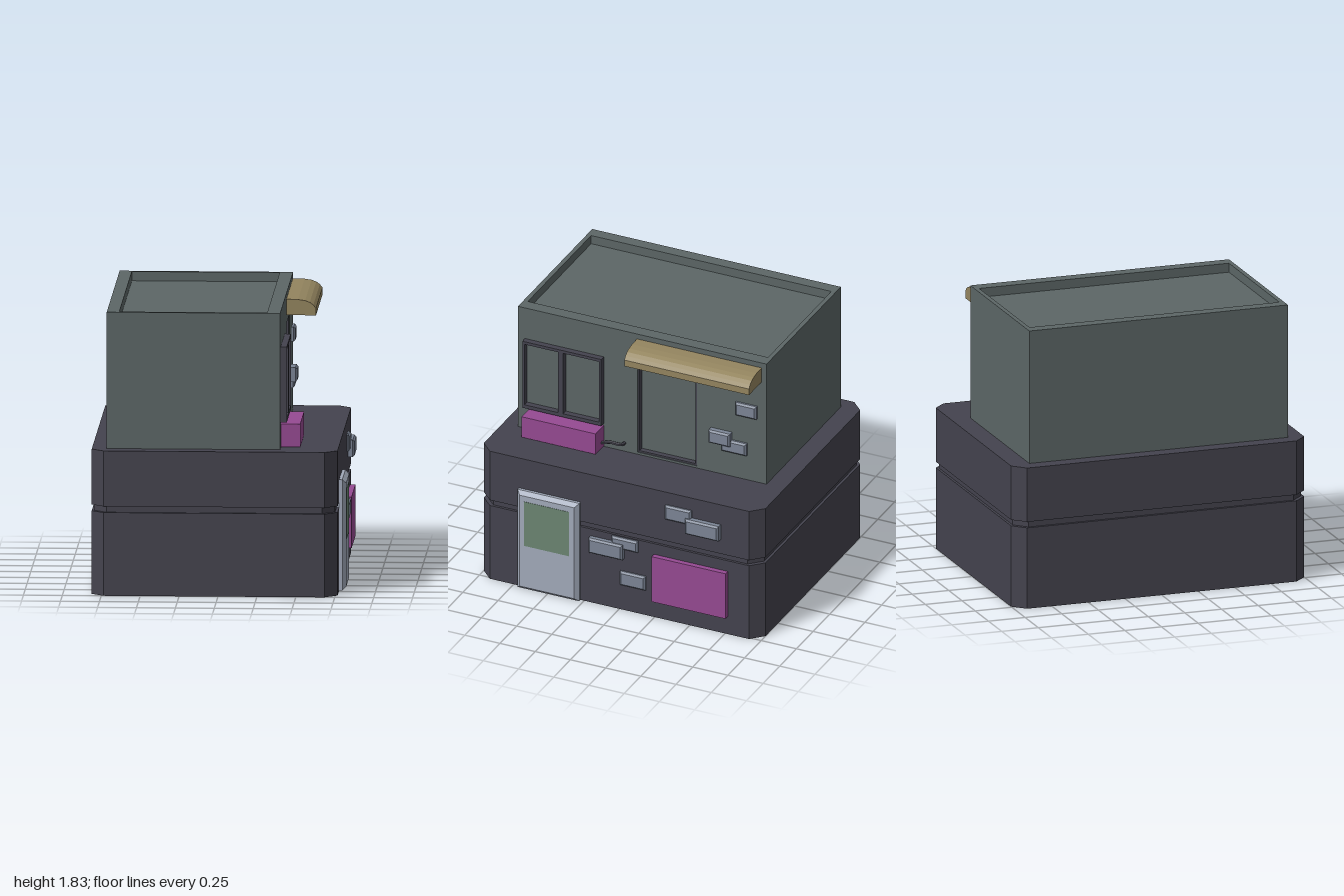
import * as THREE from 'three';

const mat = (color) => new THREE.MeshStandardMaterial({ color, flatShading: true });
const M = {
  base: mat(0x44434e), upper: mat(0x5c6666), brick: mat(0x7c8596), door: mat(0xa2aaba),
  glass: mat(0x6b8572), magenta: mat(0x964a92), awning: mat(0x94855f),
};

// Rectangle outline between two corners
function rect(x0, y0, x1, y1, Type = THREE.Shape) {
  return new Type([[x0, y0], [x1, y0], [x1, y1], [x0, y1]].map((p) => new THREE.Vector2(...p)));
}

export function createModel() {
  const model = new THREE.Group();

  const add = (name, geometry, material) => {
    const mesh = new THREE.Mesh(geometry, material);
    mesh.name = name;
    model.add(mesh);
    return mesh;
  };

  const box = (name, material, x0, x1, y0, y1, z0, z1) =>
    add(name, new THREE.BoxGeometry(x1 - x0, y1 - y0, z1 - z0), material)
      .position.set((x0 + x1) / 2, (y0 + y1) / 2, (z0 + z1) / 2);

  // Plan outline drawn in (x, -z), raised from y0 to y1
  const slab = (name, material, shape, y0, y1) => {
    const g = new THREE.ExtrudeGeometry(shape, { depth: y1 - y0, bevelEnabled: false });
    add(name, g.rotateX(-Math.PI / 2).translate(0, y0, 0), material);
  };

  // Wall panel from x0 to x1, with rectangles given as [z0, z1, y0, y1]
  const panel = (name, material, x0, x1, outer, holes = []) => {
    const shape = rect(-outer[1], outer[2], -outer[0], outer[3]);
    for (const h of holes) shape.holes.push(rect(-h[1], h[2], -h[0], h[3], THREE.Path));
    const g = new THREE.ExtrudeGeometry(shape, { depth: x1 - x0, bevelEnabled: false });
    add(name, g.rotateY(Math.PI / 2).translate(x0, 0, 0), material);
  };

  // Block on a wall with bevelled front edges
  const bevelBlock = (name, material, x0, x1, [z0, z1, y0, y1], b) => {
    const g = new THREE.ExtrudeGeometry(rect(-z1 + b, y0 + b, -z0 - b, y1 - b), {
      depth: x1 - x0 - b, bevelSize: b, bevelThickness: b, bevelSegments: 1,
    });
    add(name, g.rotateY(Math.PI / 2).translate(x0 - b + b, 0, 0).translate(-b, 0, 0).translate(b, 0, 0), material)
      .position.x = 0;
  };

  // Lower storey: chamfered block with a groove around it
  const chamfered = (inset) => {
    const x0 = -0.815 + inset, x1 = 0.765 - inset, z = 1 - inset, c = 0.08;
    return new THREE.Shape([
      [x0 + c, -z], [x1 - c, -z], [x1, -z + c], [x1, z - c],
      [x1 - c, z], [x0 + c, z], [x0, z - c], [x0, -z + c],
    ].map((p) => new THREE.Vector2(...p)));
  };
  slab('lowerWalls', M.base, chamfered(0), 0, 0.54);
  slab('groove', M.base, chamfered(0.017), 0.54, 0.58);
  slab('upperBand', M.base, chamfered(0), 0.58, 0.94);

  // Upper storey: core, street wall with a door opening, parapet
  const doorway = [-0.375, 0.045, 0.955, 1.63];
  box('upperStorey', M.upper, -0.72, 0.355, 0.94, 1.765, -0.87, 0.895);
  panel('streetWall', M.upper, 0.355, 0.395, [-0.87, 0.895, 0.94, 1.765], [doorway]);
  const parapet = rect(-0.72, -0.895, 0.395, 0.87);
  parapet.holes.push(rect(-0.64, -0.865, 0.31, 0.84, THREE.Path));
  slab('parapet', M.upper, parapet, 1.765, 1.825);
  panel('upperDoorFrame', M.base, 0.355, 0.39, doorway, [[-0.363, 0.033, 0.967, 1.618]]);

  // Two-pane window, planter and pipe
  panel('windowFrame', M.base, 0.395, 0.435, [0.285, 0.845, 1.11, 1.6],
    [[0.3, 0.555, 1.135, 1.58], [0.592, 0.83, 1.135, 1.58]]);
  box('planter', M.magenta, 0.395, 0.52, 0.945, 1.095, 0.285, 0.81);
  const path = new THREE.CatmullRomCurve3([
    [0.385, 1, 0.14], [0.415, 1, 0.142], [0.425, 1, 0.155],
    [0.425, 1, 0.23], [0.425, 0.99, 0.26], [0.425, 0.98, 0.3],
  ].map((p) => new THREE.Vector3(...p)));
  add('pipe', new THREE.TubeGeometry(path, 14, 0.012, 6), M.base);

  // Curved awning
  const arch = new THREE.Shape([
    [0.395, 1.685], [0.585, 1.685], [0.585, 1.73], [0.568, 1.752], [0.545, 1.769],
    [0.515, 1.78], [0.47, 1.787], [0.395, 1.789],
  ].map((p) => new THREE.Vector2(...p)));
  add('awning', new THREE.ExtrudeGeometry(arch, { depth: 0.885, bevelEnabled: false })
    .translate(0, 0, -0.835), M.awning);

  // Front door with glass, and sign board
  bevelBlock('frontDoor', M.door, 0.765, 0.81, [0.275, 0.712, 0, 0.72], 0.025);
  box('doorGlass', M.glass, 0.8, 0.812, 0.33, 0.655, 0.335, 0.655);
  box('signBoard', M.magenta, 0.76, 0.8, 0.13, 0.462, -0.77, -0.245);

  // Exposed bricks: wall x, front x, then z and y ranges
  for (const [x0, x1, ...r] of [
    [0.76, 0.786, -0.515, -0.33, 0.745, 0.85], [0.76, 0.808, -0.72, -0.48, 0.685, 0.795],
    [0.76, 0.786, -0.135, 0.05, 0.45, 0.532], [0.76, 0.805, -0.035, 0.205, 0.38, 0.49],
    [0.76, 0.786, -0.19, -0.01, 0.185, 0.287], [0.39, 0.42, -0.805, -0.655, 1.405, 1.5],
    [0.39, 0.44, -0.625, -0.475, 1.17, 1.265], [0.39, 0.42, -0.735, -0.555, 1.12, 1.21],
  ]) bevelBlock('brick', M.brick, x0, x1, r, 0.012);

  return model;
}
